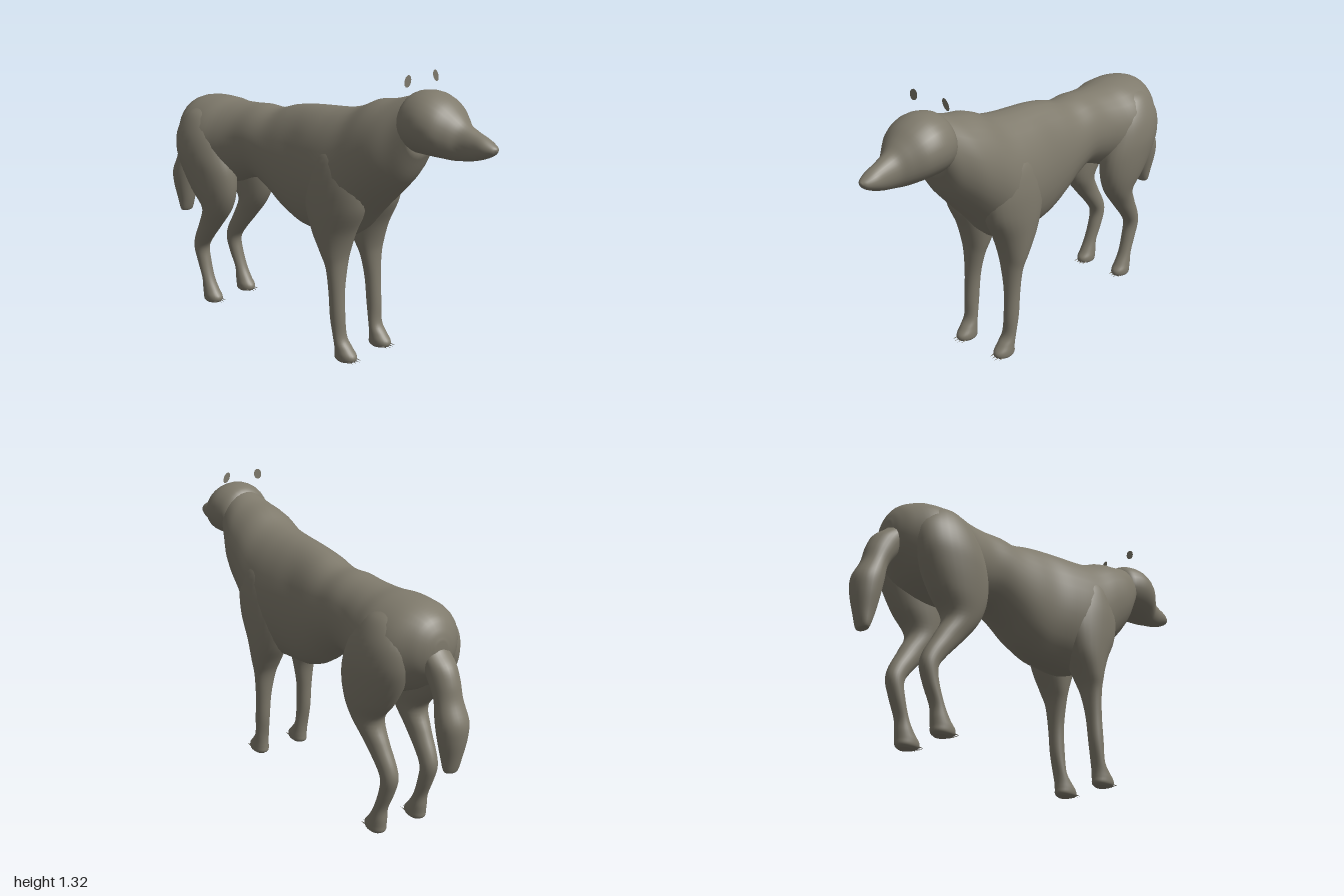
import * as THREE from 'three';

const SIDES = 28;

// Smooth skin over oval sections. Row: [position along axis, low, high, centre x, half width].
// Along 'z' low/high are heights; along 'y' they are back/front depths.
function loft(axis, rows, steps = 5) {
  const curve = (pick) => new THREE.CatmullRomCurve3(
    rows.map((r) => new THREE.Vector3(...pick(r))), false, 'catmullrom', 0.5);
  const a = curve((r) => [r[0], r[1], r[2]]);
  const b = curve((r) => [r[3], r[4], 0]);
  const n = (rows.length - 1) * steps;
  const pos = [], index = [];
  const put = (x, v, t) => (axis === 'z' ? pos.push(x, v, t) : pos.push(x, t, v));
  for (let i = 0; i <= n; i++) {
    const p = a.getPoint(i / n), q = b.getPoint(i / n);
    const mid = (p.y + p.z) / 2, r = (p.z - p.y) / 2;
    for (let j = 0; j < SIDES; j++) {
      const th = (j / SIDES) * Math.PI * 2;
      const s = Math.sin(th) * (axis === 'z' ? 1 : -1);
      put(q.x + q.y * Math.cos(th), mid + r * s, p.x);
    }
  }
  for (let i = 0; i < n; i++) {
    for (let j = 0; j < SIDES; j++) {
      const k = (j + 1) % SIDES, u = i * SIDES, v = u + SIDES;
      index.push(u + j, u + k, v + k, u + j, v + k, v + j);
    }
  }
  // End caps
  for (const [row, base, flip] of [[rows[0], 0, true], [rows.at(-1), n * SIDES, false]]) {
    const c = pos.length / 3;
    put(row[3], (row[1] + row[2]) / 2, row[0]);
    for (let j = 0; j < SIDES; j++) {
      const k = (j + 1) % SIDES;
      if (flip) index.push(c, base + k, base + j);
      else index.push(c, base + j, base + k);
    }
  }
  const g = new THREE.BufferGeometry();
  g.setAttribute('position', new THREE.Float32BufferAttribute(pos, 3));
  g.setIndex(index);
  g.computeVertexNormals();
  return g;
}

const TORSO = [
  [-0.85, 0.83, 0.90, 0, 0.03], [-0.835, 0.78, 0.945, 0, 0.075],
  [-0.80, 0.73, 0.99, 0, 0.125], [-0.72, 0.66, 1.025, 0, 0.19],
  [-0.60, 0.62, 1.035, 0, 0.21], [-0.50, 0.63, 1.03, 0, 0.185],
  [-0.40, 0.67, 1.035, 0, 0.16], [-0.30, 0.69, 1.045, 0, 0.155],
  [-0.20, 0.645, 1.045, 0, 0.155], [-0.10, 0.575, 1.075, 0, 0.16],
  [0.00, 0.535, 1.095, 0, 0.165], [0.10, 0.53, 1.105, 0, 0.183],
  [0.20, 0.53, 1.115, 0, 0.195], [0.30, 0.57, 1.135, 0, 0.195],
  [0.40, 0.68, 1.18, 0, 0.185], [0.50, 0.785, 1.20, 0, 0.17],
  [0.58, 0.875, 1.225, 0, 0.135], [0.64, 0.99, 1.235, 0, 0.11],
];
const HEAD = [
  [0.56, 1.06, 1.19, 0, 0.06], [0.59, 1.01, 1.235, 0, 0.115],
  [0.64, 1.0, 1.255, 0, 0.135], [0.70, 1.0, 1.255, 0, 0.14],
  [0.76, 1.0, 1.23, 0, 0.125], [0.81, 1.0, 1.19, 0, 0.09],
  [0.85, 1.005, 1.155, 0, 0.06], [0.90, 1.015, 1.132, 0, 0.046],
  [0.95, 1.033, 1.112, 0, 0.04], [0.985, 1.052, 1.093, 0, 0.025],
  [1.0, 1.07, 1.082, 0, 0.007],
];
const TAIL = [
  [0.38, -0.945, -0.925, 0, 0.015], [0.39, -0.957, -0.91, 0, 0.034],
  [0.45, -0.975, -0.89, 0, 0.046], [0.53, -0.992, -0.873, 0, 0.062],
  [0.60, -0.992, -0.86, 0, 0.068], [0.68, -0.955, -0.845, 0, 0.06],
  [0.75, -0.938, -0.80, 0, 0.062], [0.81, -0.91, -0.76, 0, 0.064],
  [0.86, -0.855, -0.74, 0, 0.06], [0.90, -0.83, -0.74, 0, 0.04],
];
const FRONT_LEG = [
  [0.0, 0.285, 0.35, 0.112, 0.026], [0.012, 0.27, 0.38, 0.112, 0.038],
  [0.035, 0.27, 0.383, 0.112, 0.04], [0.065, 0.27, 0.355, 0.113, 0.037],
  [0.11, 0.265, 0.322, 0.115, 0.034], [0.20, 0.247, 0.316, 0.118, 0.034],
  [0.32, 0.237, 0.308, 0.116, 0.038], [0.43, 0.222, 0.308, 0.11, 0.054],
  [0.50, 0.19, 0.318, 0.108, 0.072], [0.60, 0.13, 0.352, 0.105, 0.09],
  [0.72, 0.09, 0.41, 0.105, 0.1], [0.84, 0.10, 0.42, 0.105, 0.098],
  [0.95, 0.15, 0.38, 0.10, 0.08], [1.02, 0.22, 0.32, 0.08, 0.04],
];
const HIND_LEG = [
  [0.0, -0.64, -0.58, 0.108, 0.026], [0.012, -0.655, -0.55, 0.108, 0.038],
  [0.035, -0.657, -0.547, 0.108, 0.04], [0.065, -0.66, -0.572, 0.108, 0.037],
  [0.12, -0.665, -0.605, 0.108, 0.032], [0.20, -0.70, -0.632, 0.105, 0.034],
  [0.27, -0.722, -0.642, 0.105, 0.037], [0.33, -0.71, -0.605, 0.107, 0.04],
  [0.42, -0.662, -0.527, 0.112, 0.048], [0.51, -0.625, -0.457, 0.116, 0.066],
  [0.60, -0.695, -0.42, 0.121, 0.086], [0.70, -0.755, -0.415, 0.124, 0.1],
  [0.79, -0.785, -0.44, 0.125, 0.104], [0.88, -0.78, -0.48, 0.118, 0.094],
  [0.96, -0.73, -0.54, 0.10, 0.07], [1.0, -0.68, -0.59, 0.08, 0.03],
];

export function createModel() {
  const model = new THREE.Group();
  model.name = 'wolf';
  const fur = new THREE.MeshStandardMaterial({ color: 0x7f7a6c });
  fur.name = 'greyBrownFur';
  fur.side = THREE.DoubleSide;
  const add = (name, geometry) => {
    const m = new THREE.Mesh(geometry, fur);
    m.name = name;
    model.add(m);
    return m;
  };

  add('torso', loft('z', TORSO));
  add('head', loft('z', HEAD));
  add('tail', loft('y', TAIL));

  // Legs and claws, mirrored left and right
  for (const [side, s] of [['left', 1], ['right', -1]]) {
    for (const [name, rows, toeZ, x] of [['Front', FRONT_LEG, 0.385, 0.112], ['Hind', HIND_LEG, -0.545, 0.108]]) {
      add(`${side}${name}Leg`, loft('y', rows.map((r) => [r[0], r[1], r[2], r[3] * s, r[4]])));
      for (let i = 0; i < 4; i++) {
        const off = (i - 1.5) * 0.017;
        const claw = new THREE.ConeGeometry(0.005, 0.045, 6).rotateX(Math.PI / 2);
        add(`${side}${name}Claw`, claw).position.set(x * s + off, 0.016, toeZ - Math.abs(off) * 0.4);
      }
    }
  }

  // Small flat ear tips above the skull
  const ear = (name, x, rx, ry, tilt) => {
    const m = add(name, new THREE.CircleGeometry(1, 14));
    m.scale.set(rx, ry, 1);
    m.rotation.z = tilt;
    m.position.set(x, 1.297, 0.62);
  };
  ear('rightEarTip', -0.085, 0.02, 0.025, -0.3);
  ear('leftEarTip', 0.086, 0.015, 0.027, 0.5);

  return model;
}
